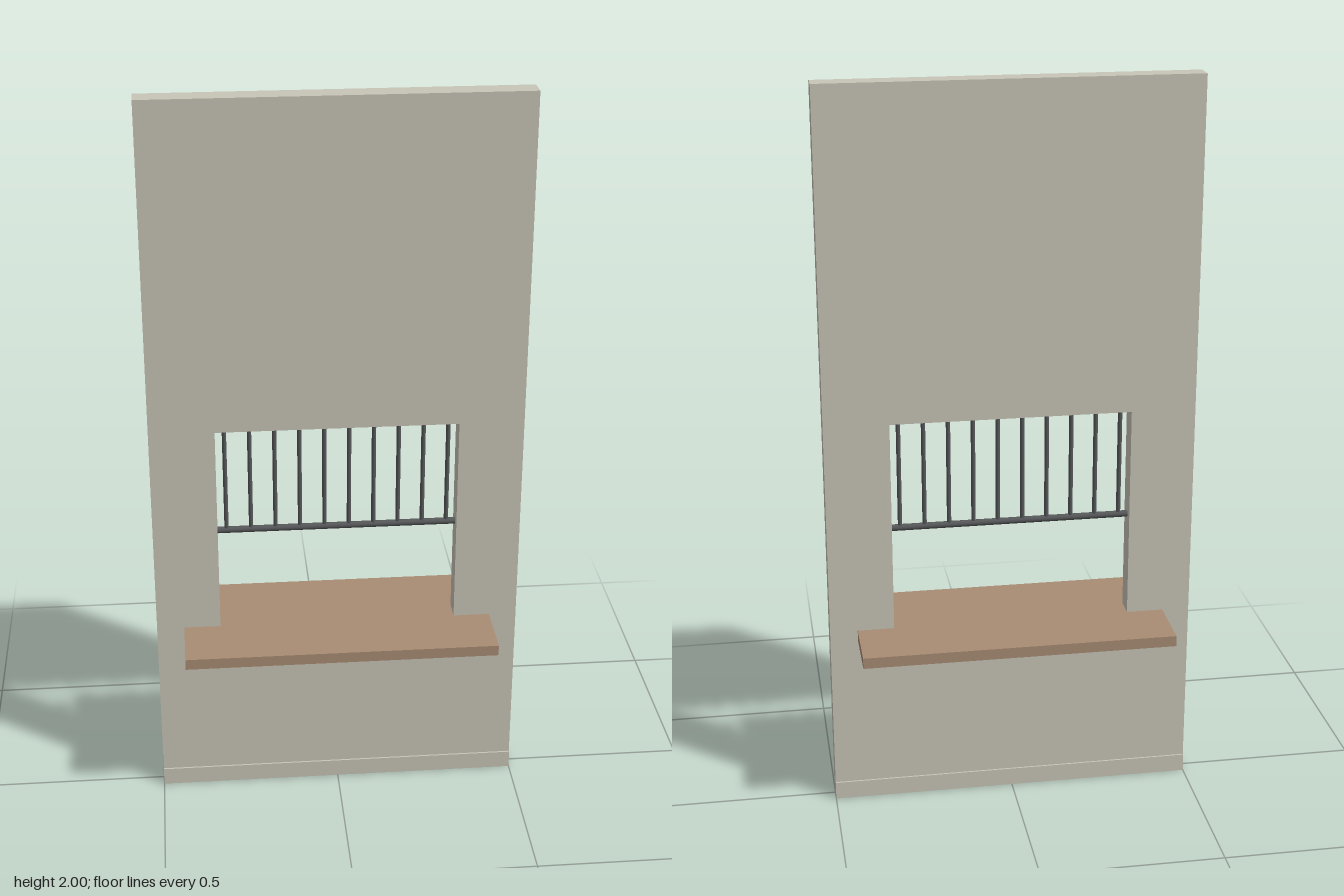
import * as THREE from 'three';

export function createModel() {
  const model = new THREE.Group();
  model.name = 'tellerWindow';

  const plaster = new THREE.MeshStandardMaterial({ color: 0xc8c4b7 });
  plaster.name = 'plaster';
  const wood = new THREE.MeshStandardMaterial({ color: 0xa88b74 });
  wood.name = 'wood';
  const iron = new THREE.MeshStandardMaterial({ color: 0x57585a });
  iron.name = 'iron';

  function add(name, geometry, material, x, y, z, parent = model) {
    const mesh = new THREE.Mesh(geometry, material);
    mesh.name = name;
    mesh.position.set(x, y, z);
    parent.add(mesh);
    return mesh;
  }

  const openHalf = 0.325, sill = 0.5, head = 1.105;
  const wallDepth = 0.06;

  // Wall panel with a rectangular opening
  const outline = new THREE.Shape([
    new THREE.Vector2(-0.5, 0), new THREE.Vector2(0.5, 0),
    new THREE.Vector2(0.5, 2), new THREE.Vector2(-0.5, 2),
  ]);
  outline.holes.push(new THREE.Path([
    new THREE.Vector2(-openHalf, sill), new THREE.Vector2(-openHalf, head),
    new THREE.Vector2(openHalf, head), new THREE.Vector2(openHalf, sill),
  ]));
  const wall = new THREE.ExtrudeGeometry(outline, { depth: wallDepth, bevelEnabled: false });
  add('wall', wall, plaster, 0, 0, -wallDepth / 2);

  // Skirting strips on both faces
  for (const side of [1, -1]) {
    add(side > 0 ? 'frontSkirting' : 'backSkirting',
      new THREE.BoxGeometry(1, 0.05, 0.005), plaster, 0, 0.025, side * 0.0325);
  }

  // Counter running through the opening
  add('counter', new THREE.BoxGeometry(0.85, 0.03, 0.4), wood, 0, 0.5, 0);

  // Grille: a bottom rail with evenly spaced upright bars
  const grille = new THREE.Group();
  grille.name = 'grille';
  model.add(grille);
  const railY = 0.8;
  const rail = add('grilleRail', new THREE.CylinderGeometry(0.009, 0.009, openHalf * 2, 12), iron, 0, railY, 0, grille);
  rail.rotation.z = Math.PI / 2;

  const barCount = 10;
  const barGeometry = new THREE.CylinderGeometry(0.006, 0.006, head - railY, 10);
  for (let i = 0; i < barCount; i++) {
    const x = -0.3 + (0.6 * i) / (barCount - 1);
    add('grilleBar', barGeometry, iron, x, (head + railY) / 2, 0, grille);
  }

  return model;
}
